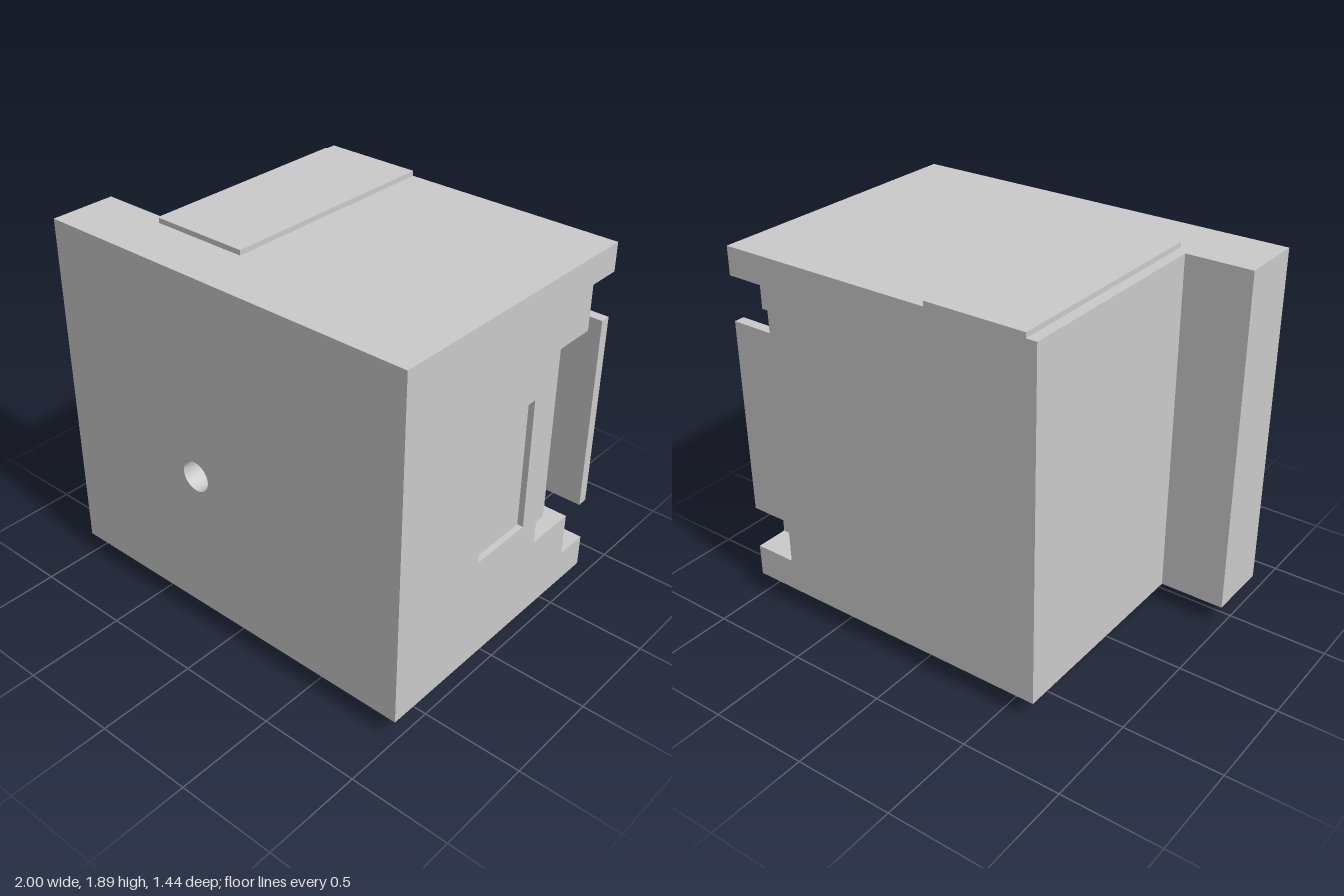
import * as THREE from 'three';

const material = new THREE.MeshStandardMaterial({ color: 0xcccccc, flatShading: true });
const BACK = 0.72, FRONT = 0.72, SLAB = 0.11; // half depth and front plate thickness
const BOTTOM = 0.115, TOP = 1.865;

function addMesh(parent, name, geometry) {
  const mesh = new THREE.Mesh(geometry, material);
  mesh.name = name;
  parent.add(mesh);
  return mesh;
}

// Box given by its limits
function addBox(parent, name, x0, x1, y0, y1, z0, z1) {
  const mesh = addMesh(parent, name, new THREE.BoxGeometry(x1 - x0, y1 - y0, z1 - z0));
  mesh.position.set((x0 + x1) / 2, (y0 + y1) / 2, (z0 + z1) / 2);
}

// Outlines of the +x side, as [x, distance behind centre], running front to back
const plain = [[1, BACK]];
const notch = [[1, 0.55], [0.78, 0.55], [0.78, BACK]];
const notchWithHole = [[1, 0.55], [0.95, 0.55], [0.95, 0.45], [0.89, 0.45], [0.89, 0.55], [0.78, 0.55], [0.78, BACK]];
const slot = [[1, 0.28], [0.92, 0.28], [0.92, 0.475], [0.78, 0.475], [0.78, 0.667], [1, 0.667], [1, BACK]];
const slotWithPocket = [[1, -0.17], [0.97, -0.17], [0.97, 0.17], [1, 0.17], ...slot];

// Heights at which the side outline changes
const layers = [
  [BOTTOM, plain], [0.28, notch], [0.36, notchWithHole], [0.42, notch],
  [0.503, slot], [0.655, slotWithPocket], [1.325, slot],
  [1.503, notch], [1.583, notchWithHole], [1.643, notch], [1.725, plain],
];

function layerGeometry(side, height) {
  const z = -(FRONT - SLAB);
  const outline = [[-1, z], [1, z], ...side, [-0.667, BACK], [-0.667, -0.39], [-1, -0.39]];
  const shape = new THREE.Shape(outline.map(([x, v]) => new THREE.Vector2(x, v)));
  return new THREE.ExtrudeGeometry(shape, { depth: height, bevelEnabled: false }).rotateX(-Math.PI / 2);
}

export function createModel() {
  const group = new THREE.Group();
  group.name = 'housing';

  // Main block with side pocket, stepped slot and corner notches
  const body = new THREE.Group();
  body.name = 'body';
  group.add(body);
  layers.forEach(([y, side], i) => {
    const end = i + 1 < layers.length ? layers[i + 1][0] : TOP;
    addMesh(body, `bodyLayer${i + 1}`, layerGeometry(side, end - y)).position.y = y;
  });

  // Front plate with a blind round hole
  const face = new THREE.Shape([[-1, BOTTOM], [1, BOTTOM], [1, TOP], [-1, TOP]].map(p => new THREE.Vector2(...p)));
  face.holes.push(new THREE.Path().absarc(-0.173, 0.855, 0.077, 0, Math.PI * 2, true));
  addMesh(group, 'frontPlate', new THREE.ExtrudeGeometry(face, { depth: SLAB, bevelEnabled: false, curveSegments: 24 }))
    .position.z = FRONT - SLAB;

  // Raised strip on top and foot underneath
  addBox(group, 'topStrip', -0.615, -0.115, TOP, 1.89, -BACK, 0.443);
  addBox(group, 'foot', -0.58, 0.58, 0, BOTTOM, -0.22, 0.443);

  return group;
}
